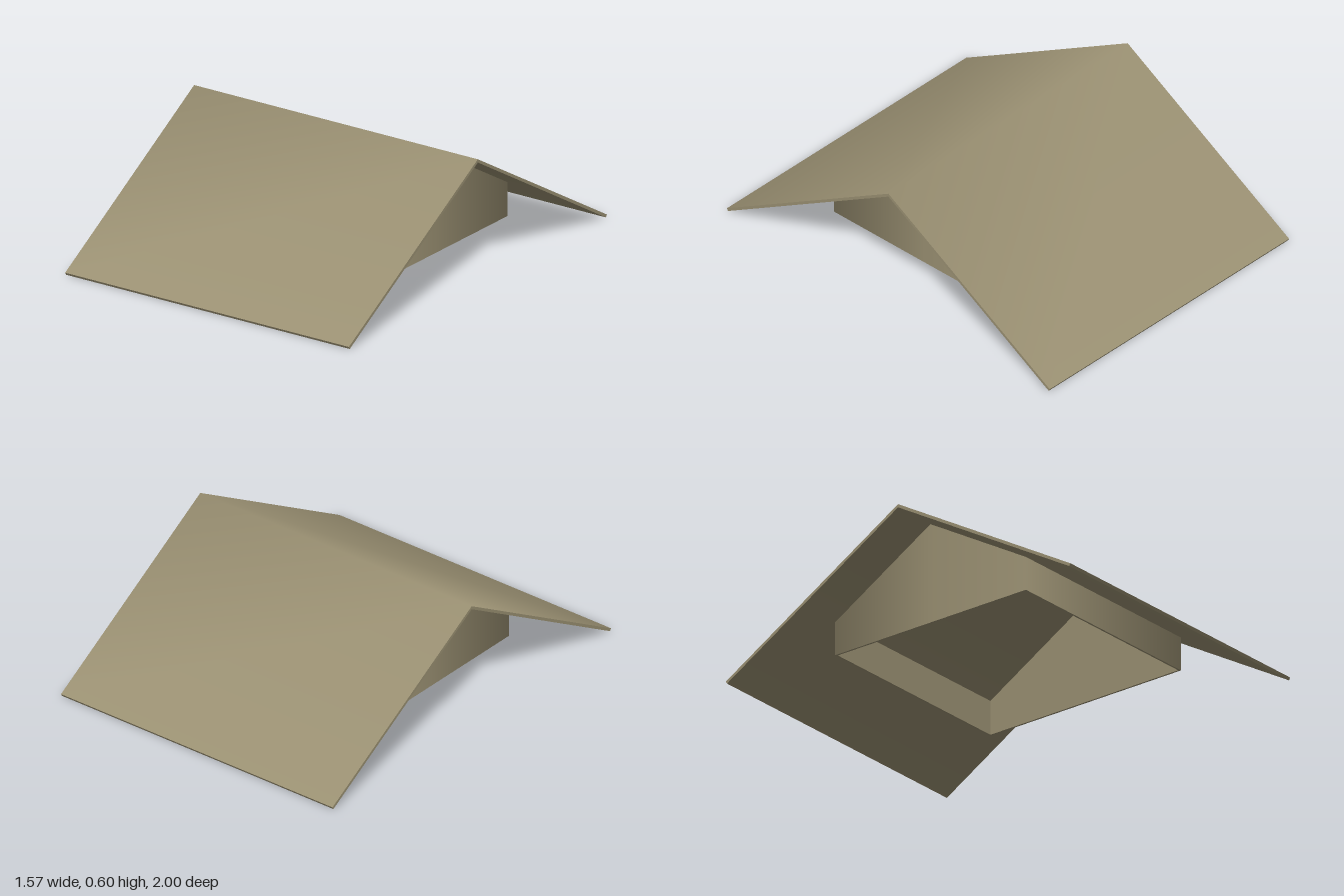
import * as THREE from 'three';
import { toCreasedNormals } from 'three/addons/utils/BufferGeometryUtils.js';

const OUTER = 0.554, INNER = 0.545, BASE = 0.095;

// Height that tucks a wall top into the thickness of the roof
const roofHeight = z => 0.59 - 0.588 * Math.abs(z);

// Square ring of points, with an extra point under each end of the ridge
function ring(w, height) {
  return [[w, w], [w, 0], [w, -w], [-w, -w], [-w, 0], [-w, w]]
    .map(([x, z]) => new THREE.Vector3(x, height(z), z));
}

// Closed band of quads between two rings
function loft(lower, upper) {
  const points = [];
  lower.forEach((a, i) => {
    const j = (i + 1) % lower.length;
    points.push(a, lower[j], upper[j], a, upper[j], upper[i]);
  });
  const geometry = new THREE.BufferGeometry().setFromPoints(points);
  geometry.computeVertexNormals();
  return geometry;
}

// Shade the outside of the walls softly around the corners
function softenAround(geometry) {
  const p = geometry.attributes.position, n = geometry.attributes.normal;
  const v = new THREE.Vector3();
  for (let i = 0; i < p.count; i++) {
    v.set(p.getX(i), 0, p.getZ(i)).normalize();
    n.setXYZ(i, v.x, v.y, v.z);
  }
  return geometry;
}

export function createModel() {
  const model = new THREE.Group();
  model.name = 'gabledRoofShelter';

  const tan = new THREE.MeshStandardMaterial({ color: 0x9b9173 });
  tan.name = 'tan';

  const add = (name, geometry, parent) => {
    const mesh = new THREE.Mesh(geometry, tan);
    mesh.name = name;
    parent.add(mesh);
  };

  // Thin folded roof, extruded along the ridge
  const profile = new THREE.Shape([
    [0.993, 0], [1, 0.012], [0, 0.6], [-1, 0.012], [-0.993, 0], [0, 0.584],
  ].map(([z, y]) => new THREE.Vector2(z, y)));
  const roof = new THREE.ExtrudeGeometry(profile, { depth: 1.57, bevelEnabled: false });
  roof.translate(0, 0, -0.785).rotateY(Math.PI / 2);
  add('roof', toCreasedNormals(roof, THREE.MathUtils.degToRad(75)), model);

  // Thin walls, open underneath
  const walls = new THREE.Group();
  walls.name = 'walls';
  model.add(walls);
  const base = () => BASE;
  add('wallOutside', softenAround(loft(ring(OUTER, base), ring(OUTER, roofHeight))), walls);
  add('wallInside', loft(ring(INNER, roofHeight), ring(INNER, base)), walls);
  add('wallBottomRim', loft(ring(INNER, base), ring(OUTER, base)), walls);

  return model;
}
